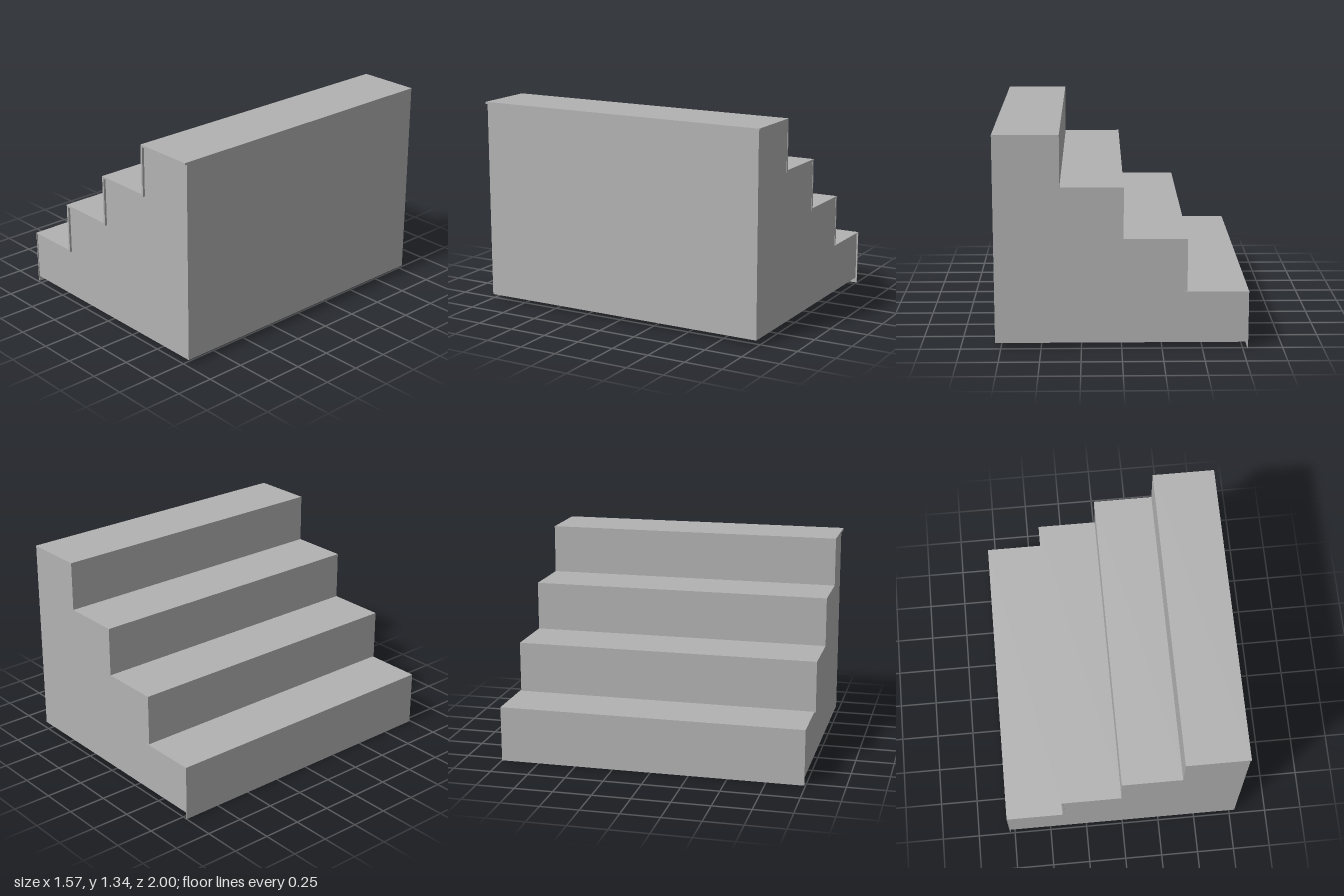
import * as THREE from 'three';

export function createModel() {
  const model = new THREE.Group();
  model.name = 'staircase';
  const grey = new THREE.MeshStandardMaterial({ color: 0xb2b2b2 });
  grey.name = 'plain grey';

  // Extrude a front-facing outline between two depths
  const addProfile = (name, points, zBack, zFront) => {
    const shape = new THREE.Shape(points.map(([x, y]) => new THREE.Vector2(x, y)));
    const geometry = new THREE.ExtrudeGeometry(shape, { depth: zFront - zBack, bevelEnabled: false });
    geometry.translate(0, 0, zBack);
    const mesh = new THREE.Mesh(geometry, grey);
    mesh.name = name;
    model.add(mesh);
  };

  const right = 0.785;
  const base = 0.035;
  const stepX = [-0.785, -0.405, -0.012, 0.378]; // outer face of each riser
  const stepY = [0.364, 0.697, 1.02, 1.344]; // top of each tread
  const thick = 0.014;

  // Solid stepped core
  const core = [[right, base], [right, stepY[3] - thick]];
  for (let i = 3; i >= 0; i--) {
    const x = stepX[i] + (i ? thick : 0.004);
    core.push([x, stepY[i] - (i ? thick : 0.005)]);
    core.push([x, i ? stepY[i - 1] - (i > 1 ? thick : 0.005) : base]);
  }
  addProfile('core', core, -0.99, 0.985);

  // L-shaped riser and tread covers; the lowest one is thinner and set back
  for (let i = 0; i < 4; i++) {
    const first = i === 0;
    const t = first ? 0.005 : thick;
    const x = stepX[i], y = stepY[i];
    const bottom = first ? 0 : stepY[i - 1] - (i > 1 ? thick : 0.005);
    const end = i < 3 ? stepX[i + 1] + thick : right;
    addProfile('stepCover' + (i + 1), [
      [x, bottom], [x + t, bottom], [x + t, y - t], [end, y - t], [end, y], [x, y],
    ], first ? -1 : -0.992, first ? 0.992 : 1);
  }
  return model;
}
